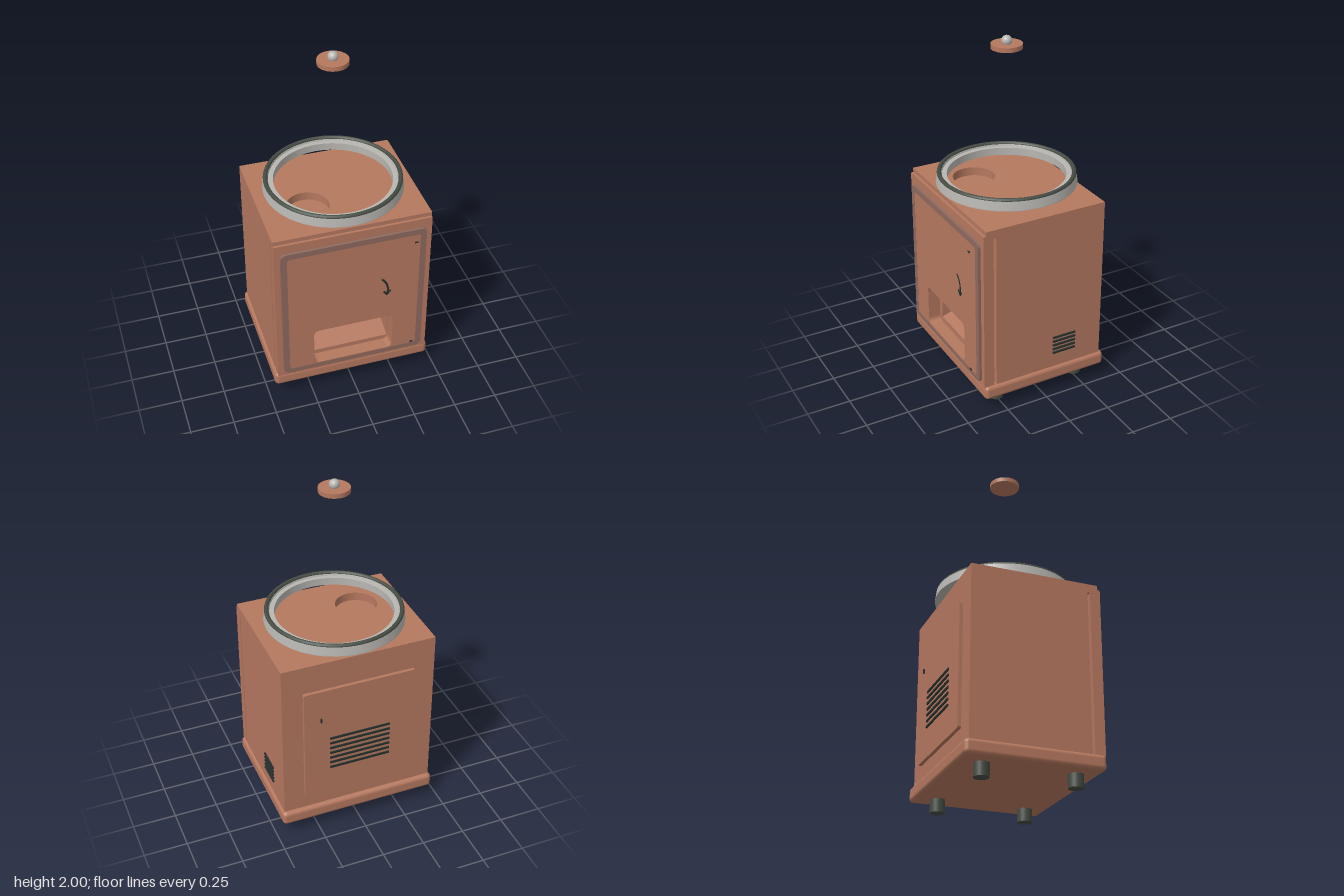
import * as THREE from 'three';
import { RoundedBoxGeometry } from 'three/addons/geometries/RoundedBoxGeometry.js';

const mat = (name, color) => {
  const m = new THREE.MeshStandardMaterial({ color });
  m.name = name;
  return m;
};

// Rounded rectangle from corner to corner, as a Shape or a hole Path
function roundRect(Type, x0, y0, x1, y1, r) {
  const p = new Type();
  p.moveTo(x0 + r, y0);
  p.lineTo(x1 - r, y0);
  p.quadraticCurveTo(x1, y0, x1, y0 + r);
  p.lineTo(x1, y1 - r);
  p.quadraticCurveTo(x1, y1, x1 - r, y1);
  p.lineTo(x0 + r, y1);
  p.quadraticCurveTo(x0, y1, x0, y1 - r);
  p.lineTo(x0, y0 + r);
  p.quadraticCurveTo(x0, y0, x0 + r, y0);
  return p;
}

export function createModel() {
  const copper = mat('copper', 0xb5785f);
  const trim = mat('dull copper trim', 0x8e6a5f);
  const steel = mat('steel', 0xb8b6b1);
  const rubber = mat('dark rubber', 0x454c43);
  const black = mat('black marking', 0x26302d);

  const model = new THREE.Group();
  const add = (name, geo, material, x = 0, y = 0, z = 0) => {
    const m = new THREE.Mesh(geo, material);
    m.name = name;
    m.position.set(x, y, z);
    model.add(m);
    return m;
  };
  const box = (name, material, x0, x1, y0, y1, z0, z1) =>
    add(name, new THREE.BoxGeometry(x1 - x0, y1 - y0, z1 - z0), material,
      (x0 + x1) / 2, (y0 + y1) / 2, (z0 + z1) / 2);
  const plate = (name, material, shape, z0, z1) =>
    add(name, new THREE.ExtrudeGeometry(shape, { depth: z1 - z0, bevelEnabled: false, curveSegments: 8 }),
      material, 0, 0, z0);

  // Base and feet
  add('base', new RoundedBoxGeometry(0.93, 0.085, 0.77, 4, 0.024), copper, 0, 0.1175, -0.015);
  for (const x of [-0.345, 0.345])
    for (const z of [-0.27, 0.245])
      add('foot', new THREE.CylinderGeometry(0.042, 0.042, 0.08, 32), rubber, x, 0.04, z);

  // Cabinet core: side profiles (z, y) extruded across x, the middle one cut out for the chute
  const core = (name, profile, x0, x1) => {
    const shape = new THREE.Shape(profile.map(([z, y]) => new THREE.Vector2(-z, y)));
    const geo = new THREE.ExtrudeGeometry(shape, { depth: x1 - x0, bevelEnabled: false });
    geo.rotateY(Math.PI / 2);
    // the extrusion now runs along +x, with shape x along -z
    add(name, geo, copper, x0, 0, 0);
  };
  const side = [[0.295, 0.15], [-0.375, 0.15], [-0.375, 1.08], [0.295, 1.08]];
  core('cabinetSide', side, -0.45, -0.235);
  core('cabinetSide', side, 0.235, 0.45);
  core('cabinetMiddle', [[0.295, 0.15], [-0.375, 0.15], [-0.375, 1.08], [0.295, 1.08],
    [0.295, 0.455], [0.02, 0.455], [0.02, 0.31], [0.295, 0.22]], -0.235, 0.235);

  // Cabinet top with the round filling hole
  const top = new THREE.Shape();
  top.moveTo(-0.45, -0.355);
  top.lineTo(0.45, -0.355);
  top.lineTo(0.45, 0.375);
  top.lineTo(-0.45, 0.375);
  const hole = new THREE.Path();
  hole.absarc(-0.18, -0.1, 0.12, 0, Math.PI * 2, true);
  top.holes.push(hole);
  const topGeo = new THREE.ExtrudeGeometry(top, { depth: 0.05, bevelEnabled: false, curveSegments: 40 });
  topGeo.rotateX(-Math.PI / 2);
  add('cabinetTop', topGeo, copper, 0, 1.08, 0);

  // Front plate, door trim and door, all pierced by the chute opening
  const opening = () => roundRect(THREE.Path, -0.235, 0.208, 0.235, 0.455, 0.035);
  const front = roundRect(THREE.Shape, -0.449, 0.15, 0.449, 1.105, 0.004);
  front.holes.push(opening());
  plate('frontPlate', copper, front, 0.31, 0.37);
  const frame = roundRect(THREE.Shape, -0.415, 0.175, 0.415, 1.05, 0.035);
  frame.holes.push(roundRect(THREE.Path, -0.38, 0.204, 0.38, 1.015, 0.02));
  plate('doorTrim', trim, frame, 0.37, 0.385);
  const door = roundRect(THREE.Shape, -0.38, 0.204, 0.38, 1.015, 0.02);
  door.holes.push(opening());
  plate('door', copper, door, 0.37, 0.384);

  // Hinge marks in front of the door
  for (const y of [0.235, 0.98])
    box('hingeMark', black, 0.338, 0.358, y - 0.004, y + 0.004, 0.403, 0.407);

  // Turning arrow on the door
  const stroke = (...pts) => {
    const curve = new THREE.CatmullRomCurve3(pts.map(([x, y]) => new THREE.Vector3(x, y, 0)));
    const m = add('turnArrow', new THREE.TubeGeometry(curve, 16, 0.006, 8), black, 0, 0, 0.385);
    m.scale.z = 0.5;
  };
  stroke([0.16, 0.745], [0.185, 0.715], [0.198, 0.67], [0.195, 0.625]);
  stroke([0.172, 0.652], [0.195, 0.625]);
  stroke([0.216, 0.655], [0.195, 0.625]);

  // Vents on the left side
  for (let i = 0; i < 5; i++) {
    const y = 0.252 + i * 0.025;
    box('sideVent', black, 0.45, 0.459, y - 0.005, y + 0.005, -0.207, -0.063);
  }

  // Rear service panel with its vents and latch
  plate('rearPanel', copper, roundRect(THREE.Shape, -0.33, 0.25, 0.33, 0.96, 0.012), -0.395, -0.375);
  for (let i = 0; i < 7; i++) {
    const y = 0.425 + i * 0.034;
    box('rearVent', black, -0.18, 0.18, y - 0.006, y + 0.006, -0.402, -0.394);
  }
  box('latch', black, 0.231, 0.239, 0.762, 0.788, -0.41, -0.402);

  // Globe collar and its rubber seal
  const cz = -0.013;
  const collar = [[0.333, 1.16], [0.395, 1.16], [0.395, 1.165], [0.388, 1.215],
    [0.363, 1.215], [0.36, 1.205], [0.333, 1.205], [0.333, 1.16]];
  // each segment is its own band, keeping the edges sharp
  for (let i = 0; i < collar.length - 1; i++) {
    const pts = [collar[i], collar[i + 1]].map(([r, y]) => new THREE.Vector2(r, y));
    add('collar', new THREE.LatheGeometry(pts, 72), steel, 0, 0, cz);
  }
  const seal = add('seal', new THREE.TorusGeometry(0.376, 0.0125, 12, 72), rubber, 0, 1.216, cz);
  seal.rotation.x = Math.PI / 2;

  // Lid and knob, above the open globe space
  add('lid', new THREE.CylinderGeometry(0.086, 0.086, 0.026, 48), copper, 0, 1.943, cz);
  add('knob', new THREE.SphereGeometry(0.029, 32, 20), steel, 0, 1.971, cz);

  return model;
}
